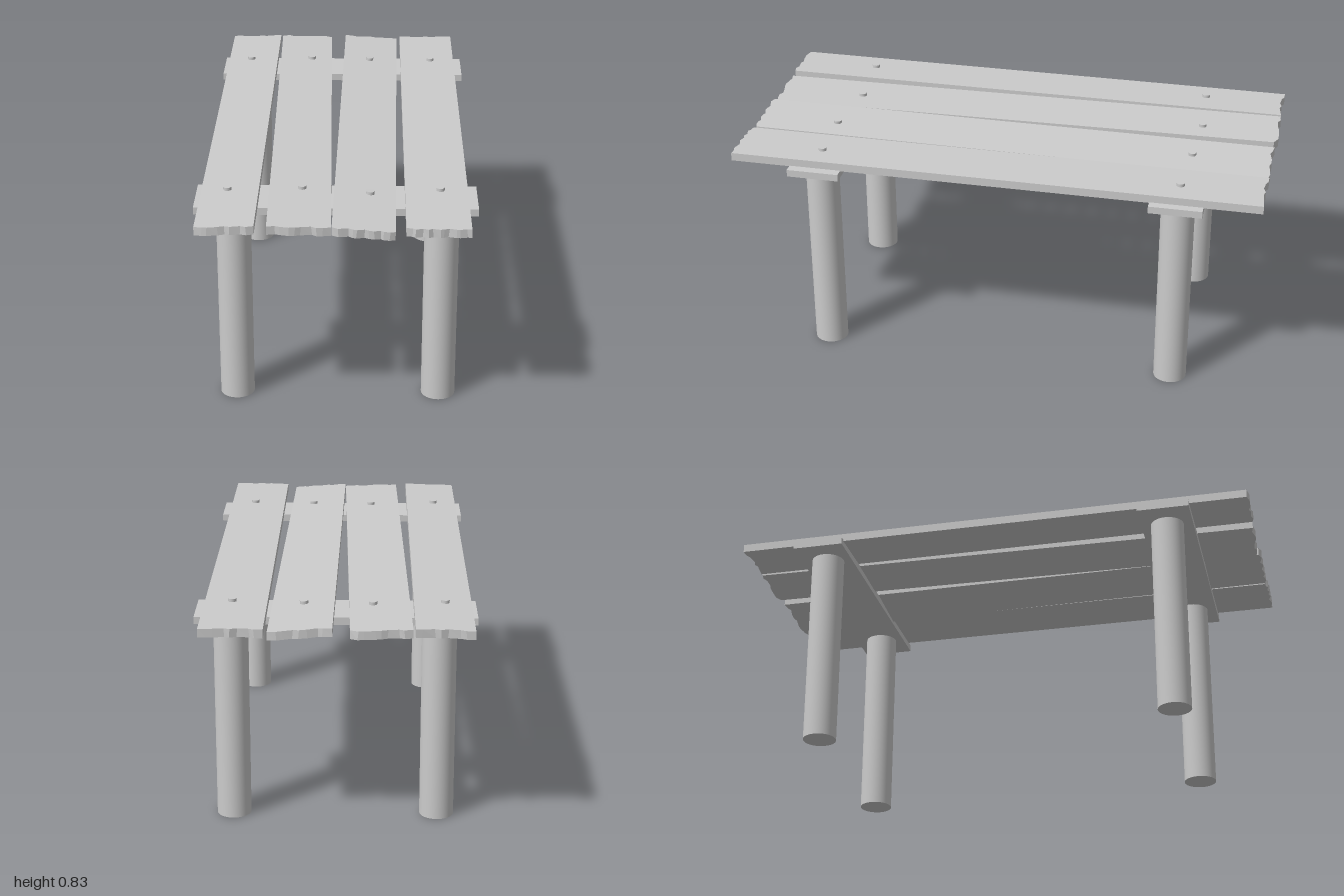
import * as THREE from 'three';

const material = new THREE.MeshStandardMaterial({ color: 0xcccccc, flatShading: true });
const smooth = new THREE.MeshStandardMaterial({ color: 0xcccccc });
const THICK = 0.031;

// Each plank: x edges at the back and front, end depths, inward chips along
// each end, and the height of its underside at the middle with its slopes.
const planks = [
  { back: [-0.478, -0.274], front: [-0.478, -0.274], z: [-0.994, 0.988], y: 0.785, roll: 0.03, pitch: 0,
    backChips: [0, 0, 8, 12, 4, 10, 3, 0], frontChips: [8, 2, 0, 4, 10, 3, 8, 0, 6] },
  { back: [-0.266, -0.052], front: [-0.232, -0.012], z: [-1, 0.983], y: 0.783, roll: -0.025, pitch: 0,
    backChips: [8, 3, 12, 10, 4, 2, 0, 0, 14], frontChips: [4, 10, 5, 0, 2, 8, 14, 4, 6, 12] },
  { back: [0.008, 0.23], front: [-0.01, 0.207], z: [-0.994, 0.99], y: 0.78, roll: -0.07, pitch: -0.003,
    backChips: [0, 6, 12, 4, 2, 8, 3, 0, 5], frontChips: [10, 0, 3, 10, 2, 0, 9, 3, 0, 8, 2, 0, 7] },
  { back: [0.243, 0.465], front: [0.243, 0.465], z: [-0.994, 0.994], y: 0.785, roll: 0.005, pitch: 0,
    backChips: [0, 0, 8, 12, 3, 9, 4, 2, 0], frontChips: [14, 10, 2, 8, 0, 7, 0, 3, 9, 1, 0, 5, 2] },
];

const bolts = [
  [[-0.385, -0.69], [-0.385, 0.67]],
  [[-0.13, -0.706], [-0.122, 0.65]],
  [[0.113, -0.696], [0.12, 0.681]],
  [[0.368, -0.685], [0.368, 0.665]],
];

function undersideHeight(p, x, z) {
  const middle = (p.back[0] + p.back[1] + p.front[0] + p.front[1]) / 4;
  return p.y + p.roll * (x - middle) + p.pitch * z;
}

function plankGeometry(p) {
  // Outline drawn in x and -z, with a ragged edge at both ends
  const points = [];
  const ragged = (edge, z, chips, inward) => chips.map((chip, i) => {
    const t = i / (chips.length - 1);
    const wobble = i > 0 && t < 1 ? 0.25 * Math.sin(i * 2.3) / chips.length : 0;
    return new THREE.Vector2(THREE.MathUtils.lerp(edge[0], edge[1], t + wobble), -(z + inward * chip * 0.001));
  });
  points.push(...ragged(p.front, p.z[1], p.frontChips, -1));
  points.push(...ragged(p.back, p.z[0], p.backChips, 1).reverse());
  const geometry = new THREE.ExtrudeGeometry(new THREE.Shape(points), { depth: THICK, bevelEnabled: false });
  geometry.rotateX(-Math.PI / 2);

  // Tilt the board and slant the chipped ends a little
  const pos = geometry.attributes.position;
  for (let i = 0; i < pos.count; i++) {
    const x = pos.getX(i), y = pos.getY(i), z = pos.getZ(i);
    const edge = z > 0 ? p.front : p.back;
    const inner = x > edge[0] + 0.005 && x < edge[1] - 0.005;
    if (inner && y < THICK / 2) pos.setX(i, x + 0.004 * Math.sin(x * 60));
    pos.setY(i, y + undersideHeight(p, x, z));
  }
  geometry.computeVertexNormals();
  return geometry;
}

export function createModel() {
  const table = new THREE.Group();
  table.name = 'plankTable';
  const add = (name, geometry, mat, x = 0, y = 0, z = 0) => {
    const mesh = new THREE.Mesh(geometry, mat);
    mesh.name = name;
    mesh.position.set(x, y, z);
    table.add(mesh);
    return mesh;
  };

  // Round legs
  const leg = new THREE.CylinderGeometry(0.0625, 0.0625, 0.762, 32);
  for (const z of [-0.68, 0.667])
    for (const x of [-0.367, 0.376]) add('leg', leg, smooth, x, 0.381, z);

  // Cross boards that carry the planks
  add('backCrossBoard', new THREE.BoxGeometry(0.995, 0.027, 0.196), material, 0, 0.7745, -0.683);
  add('frontCrossBoard', new THREE.BoxGeometry(1, 0.027, 0.196), material, 0, 0.7745, 0.667);

  // Planks, each held by two bolts
  const bolt = new THREE.CylinderGeometry(0.015, 0.015, 0.03, 16);
  planks.forEach((p, i) => {
    add('plank', plankGeometry(p), material);
    for (const [x, z] of bolts[i]) {
      const top = undersideHeight(p, x, z) + THICK;
      add('bolt', bolt, smooth, x, top - 0.004, z).rotation.z = p.roll;
    }
  });
  return table;
}
